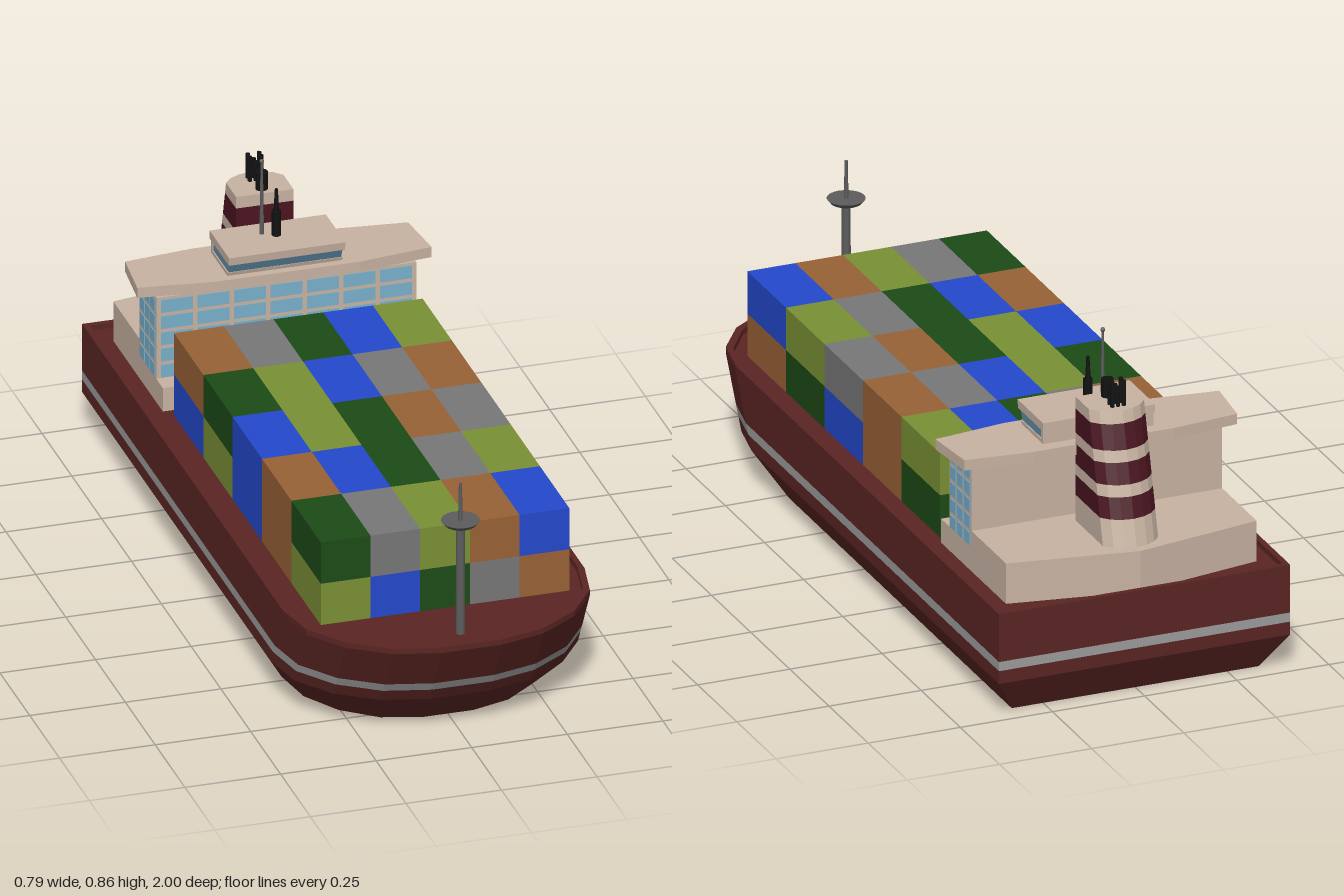
import * as THREE from 'three';

const mat = (color) => new THREE.MeshStandardMaterial({ color, flatShading: true });
const M = {
  hull: mat(0x5a2522), stripe: mat(0x9c9c9c), cream: mat(0xc8b3a2), glass: mat(0x78b0cc),
  darkGlass: mat(0x5f8ca6), maroon: mat(0x4a1420), steel: mat(0x5c5c5c), black: mat(0x111111),
};
const BOX = {
  O: mat(0x986236), G: mat(0x777777), D: mat(0x1c4a17), B: mat(0x2448cc), L: mat(0x7a9035),
};

// Full outline from its +x half, listed from stern to bow as [x, z]
function mirrored(half) {
  const other = half.filter(([x]) => x > 0).reverse().map(([x, z]) => [-x, z]);
  return half.concat(other);
}

// Skin between horizontal rings; each ring is { y, half }
function loft(rings, capBottom = true, capTop = true) {
  const pos = [], idx = [];
  const loops = rings.map(({ y, half }) => mirrored(half).map(([x, z]) => [x, y, z]));
  const n = loops[0].length;
  loops.forEach((loop) => loop.forEach((p) => pos.push(...p)));
  for (let r = 0; r < loops.length - 1; r++) {
    for (let i = 0; i < n; i++) {
      const a = r * n + i, b = r * n + (i + 1) % n;
      idx.push(a, a + n, b + n, a, b + n, b);
    }
  }
  const top = (loops.length - 1) * n;
  for (let i = 1; i < n - 1; i++) {
    if (capBottom) idx.push(0, i, i + 1);
    if (capTop) idx.push(top, top + i + 1, top + i);
  }
  const g = new THREE.BufferGeometry();
  g.setAttribute('position', new THREE.Float32BufferAttribute(pos, 3));
  g.setIndex(idx);
  const flat = g.toNonIndexed();
  flat.computeVertexNormals();
  return flat;
}

// Hull outline at one level: half width, stern z and bow z
const hullRing = (y, w, stern, bow) => ({
  y,
  half: [[w, stern], [w, bow - 0.32], [w * 0.94, bow - 0.2], [w * 0.76, bow - 0.1],
    [w * 0.5, bow - 0.03], [w * 0.2, bow]],
});

// Funnel outline at one height: flat front, raked rounded back
function funnelRing(y) {
  const back = -0.95 + 0.09 * (y - 0.385) / 0.335;
  return {
    y,
    half: [[0, back], [0.03, back + 0.005], [0.055, back + 0.018], [0.075, back + 0.04], [0.075, -0.735]],
  };
}

export function createModel() {
  const model = new THREE.Group();
  model.name = 'containerShip';

  const group = (name) => {
    const g = new THREE.Group();
    g.name = name;
    model.add(g);
    return g;
  };
  const add = (parent, name, geometry, material, x = 0, y = 0, z = 0) => {
    const m = new THREE.Mesh(geometry, material);
    m.name = name;
    m.position.set(x, y, z);
    parent.add(m);
    return m;
  };
  const rod = (parent, name, material, x, z, y0, y1, r0, r1 = r0, sides = 12) =>
    add(parent, name, new THREE.CylinderGeometry(r1, r0, y1 - y0, sides), material, x, (y0 + y1) / 2, z);

  // Hull with painted stripe, bulwark and recessed deck
  const hull = group('hull');
  const chine = hullRing(0.1, 0.395, -1, 0.9);
  const stripeLow = hullRing(0.135, 0.395, -1, 0.92);
  const stripeHigh = hullRing(0.16, 0.395, -1, 0.935);
  add(hull, 'lowerHull', loft([hullRing(0, 0.335, -0.94, 0.8), chine, stripeLow], true, false), M.hull);
  add(hull, 'hullStripe', loft([stripeLow, stripeHigh], false, false), M.stripe);
  add(hull, 'upperHullAndDeck', loft([
    stripeHigh, hullRing(0.275, 0.395, -1, 1), hullRing(0.29, 0.395, -1, 1),
    hullRing(0.29, 0.38, -0.985, 0.985), hullRing(0.275, 0.38, -0.985, 0.985),
  ], false, true), M.hull);

  // Containers: rows run from stern to bow, letters from -x to +x
  const cargo = group('containers');
  const layers = [
    ['BLGOD', 'LGDBO', 'BOLGB', 'OGBLD', 'LBDGO'],
    ['OGDBL', 'DLBGO', 'BLDOG', 'OBDGL', 'DGLOB'],
  ];
  const crate = new THREE.BoxGeometry(0.13, 0.115, 0.246);
  layers.forEach((rows, k) => rows.forEach((row, j) => [...row].forEach((c, i) => {
    add(cargo, 'container', crate, BOX[c], -0.255 + i * 0.13, 0.3325 + k * 0.115, -0.347 + j * 0.246);
  })));

  // Deckhouse: low front step, raised stern block with pointed back, window tower
  const house = group('deckhouse');
  add(house, 'frontStep', new THREE.BoxGeometry(0.68, 0.065, 0.2), M.cream, 0, 0.3075, -0.6);
  const sternHalf = [[0, -0.975], [0.34, -0.915], [0.34, -0.69]];
  add(house, 'sternBlock', loft([{ y: 0.275, half: sternHalf }, { y: 0.385, half: sternHalf }]), M.cream);
  add(house, 'tower', new THREE.BoxGeometry(0.68, 0.225, 0.14), M.cream, 0, 0.4525, -0.625);

  // Tower windows on the front and both sides
  const frontPane = new THREE.BoxGeometry(0.083, 0.035, 0.004);
  const sidePane = new THREE.BoxGeometry(0.004, 0.035, 0.036);
  for (let r = 0; r < 5; r++) {
    const y = 0.36 + r * 0.045;
    for (let c = -3; c <= 3; c++) add(house, 'frontWindow', frontPane, M.glass, c * 0.0955, y, -0.555);
    for (const s of [-1, 1]) {
      for (let c = -1; c <= 1; c++) add(house, 'sideWindow', sidePane, M.glass, s * 0.34, y, -0.625 + c * 0.044);
    }
  }

  // Bridge deck with wings
  const bridge = group('bridge');
  const wings = [[0.19, -0.74], [0.37, -0.72], [0.385, -0.57], [0.34, -0.565], [0.19, -0.545]];
  add(bridge, 'bridgeWings', loft([{ y: 0.565, half: wings }, { y: 0.593, half: wings }]), M.cream);

  // Wheelhouse with front leaning outward
  const rect = (y, w, back, front) => ({ y, half: [[w, back], [w, front]] });
  add(bridge, 'wheelhouseSill', loft([rect(0.593, 0.15, -0.705, -0.567), rect(0.603, 0.15, -0.705, -0.564)]), M.cream);
  add(bridge, 'wheelhouseWindows', loft([rect(0.603, 0.147, -0.7, -0.566), rect(0.63, 0.147, -0.7, -0.554)]), M.darkGlass);
  add(bridge, 'wheelhouseBack', new THREE.BoxGeometry(0.3, 0.027, 0.012), M.cream, 0, 0.6165, -0.699);
  add(bridge, 'wheelhouseRoof', loft([rect(0.63, 0.152, -0.71, -0.549), rect(0.652, 0.152, -0.71, -0.546)]), M.cream);

  // Roof masts
  rod(bridge, 'radarPost', M.black, 0, -0.638, 0.652, 0.72, 0.012);
  rod(bridge, 'radarTip', M.black, 0, -0.638, 0.72, 0.78, 0.007, 0.004);
  rod(bridge, 'antenna', M.steel, -0.033, -0.655, 0.652, 0.852, 0.006, 0.003);
  add(bridge, 'antennaBall', new THREE.SphereGeometry(0.006, 10, 8), M.steel, -0.033, 0.854, -0.655);

  // Banded funnel and exhaust pipes
  const funnel = group('funnel');
  const levels = [0.385, 0.455, 0.51, 0.54, 0.595, 0.625, 0.69, 0.722];
  for (let i = 0; i < levels.length - 1; i++) {
    add(funnel, 'funnelBand', loft([funnelRing(levels[i]), funnelRing(levels[i + 1])]), i % 2 ? M.maroon : M.cream);
  }
  rod(funnel, 'mainExhaust', M.black, 0, -0.762, 0.72, 0.77, 0.016);
  for (const z of [-0.812, -0.83]) {
    for (const x of [-0.015, 0, 0.015]) {
      rod(funnel, 'exhaustPipe', M.black, x, z, 0.72, x ? 0.79 : 0.775, 0.006, 0.006, 8);
    }
  }

  // Bow mast with lookout dish
  const mast = group('bowMast');
  rod(mast, 'mastPole', M.steel, 0, 0.905, 0.275, 0.59, 0.012, 0.011, 16);
  const dish = [[0, 0.57], [0.025, 0.572], [0.04, 0.579], [0.049, 0.59], [0, 0.59]];
  add(mast, 'lookoutDish', new THREE.LatheGeometry(dish.map(([x, y]) => new THREE.Vector2(x, y)), 24),
    M.steel, 0, 0, 0.905);
  rod(mast, 'mastTop', M.steel, 0, 0.905, 0.59, 0.692, 0.006, 0.004);

  return model;
}
